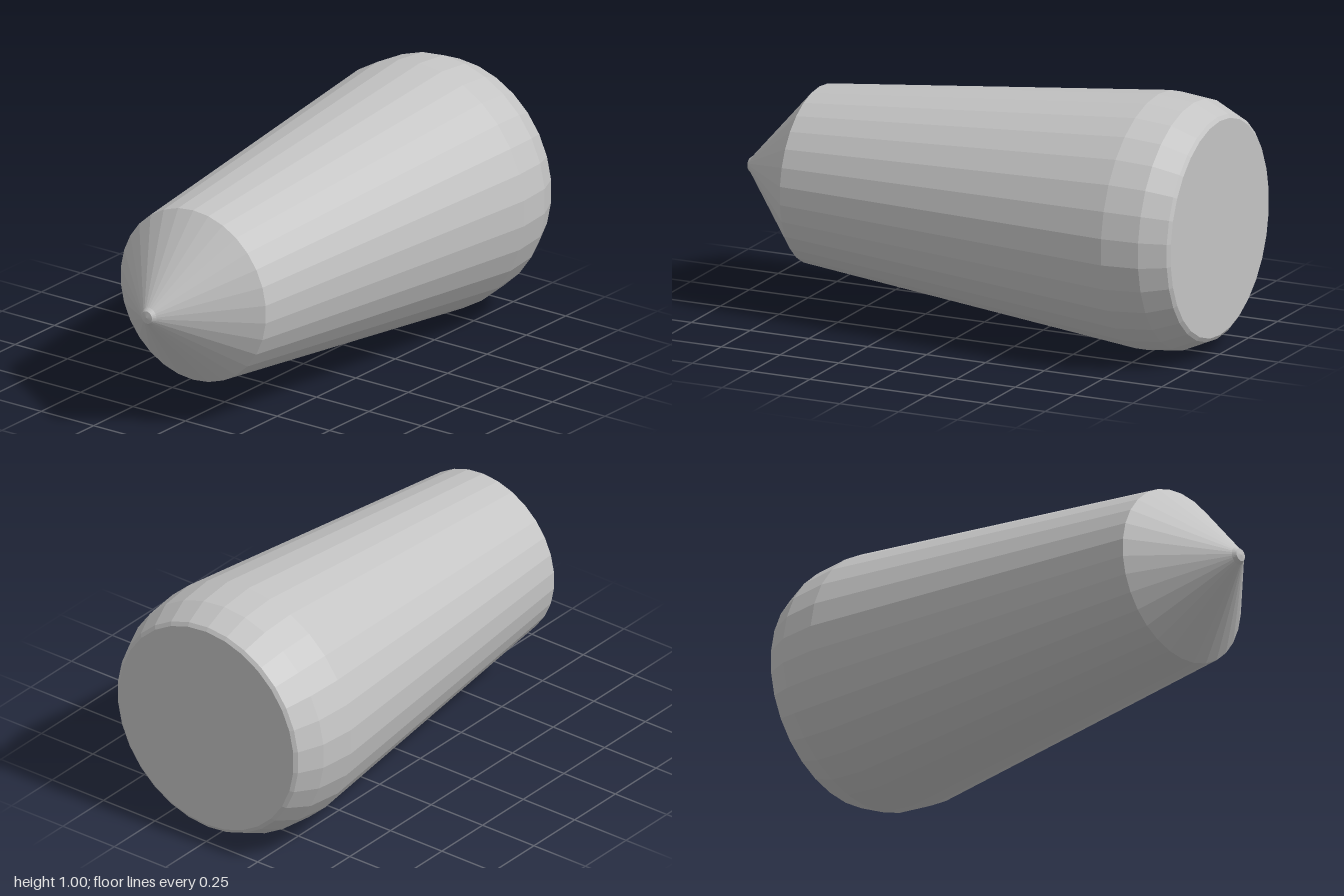
import * as THREE from 'three';

const SIDES = 30;

// Turned faceted part along the z axis; profile points are [radius, z], back to front
function turned(name, profile, material) {
  const points = profile.map(([r, z]) => new THREE.Vector2(r, z));
  const lathe = new THREE.LatheGeometry(points, SIDES);
  lathe.rotateX(Math.PI / 2);
  const geometry = lathe.toNonIndexed();
  geometry.computeVertexNormals(); // one normal per facet
  const mesh = new THREE.Mesh(geometry, material);
  mesh.name = name;
  mesh.position.y = 0.5;
  return mesh;
}

export function createModel() {
  const group = new THREE.Group();
  group.name = 'taperedPlug';
  const grey = new THREE.MeshStandardMaterial({ color: 0xc4c4c4 });
  grey.name = 'light grey';

  // Flat back end with its rounded rim
  group.add(turned('backCap', [[0, -1], [0.425, -1], [0.44, -0.99], [0.485, -0.89], [0.5, -0.74]], grey));
  // Long tapering body
  group.add(turned('body', [[0.5, -0.74], [0.347, 0.7]], grey));
  // Pointed nose with a small blunt tip
  group.add(turned('nose', [[0.347, 0.7], [0.036, 0.982], [0.025, 0.996], [0, 1]], grey));
  return group;
}
